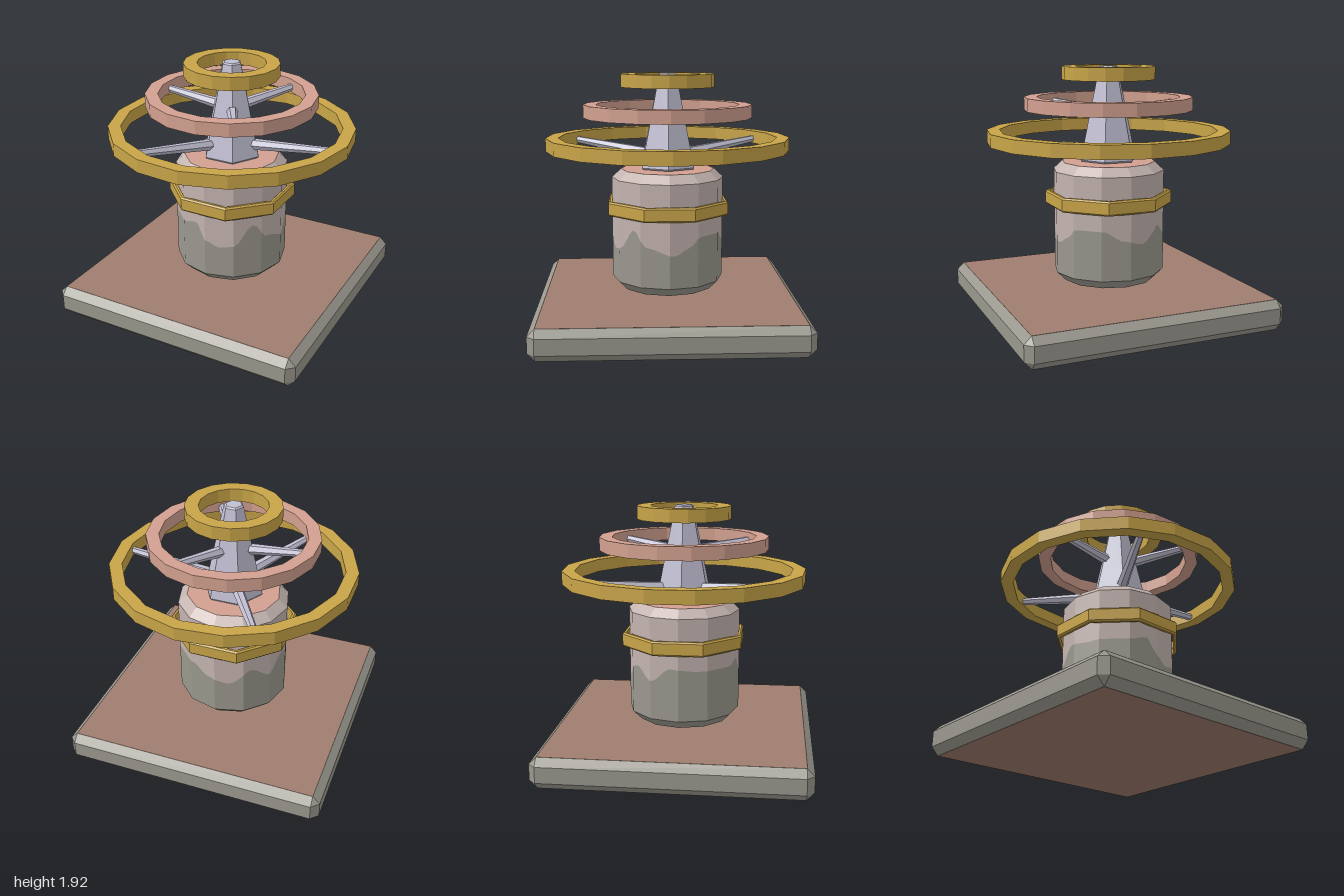
import * as THREE from 'three';
import { ConvexGeometry } from 'three/addons/geometries/ConvexGeometry.js';

const mat = (name, color) => {
  const m = new THREE.MeshStandardMaterial({ color });
  m.name = name;
  return m;
};

// Gives every face its own normal for hard low-poly edges
const flat = (g) => {
  const f = g.index ? g.toNonIndexed() : g;
  f.computeVertexNormals();
  return f;
};

// Faceted turned part from a profile of [radius, height] pairs
const turned = (profile, sides, turn = 0) =>
  flat(new THREE.LatheGeometry(profile.map(([r, y]) => new THREE.Vector2(r, y)), sides).rotateY(turn));

const ringProfile = (inner, outer, y0, y1, c = 0) => c
  ? [[inner, y0], [outer - c, y0], [outer, y0 + c], [outer, y1 - c], [outer - c, y1], [inner, y1], [inner, y0]]
  : [[inner, y0], [outer, y0], [outer, y1], [inner, y1], [inner, y0]];

// Height of the wavy paint line: [degrees from the front towards +x, y]
const WAVE = [[0, 0.64], [15, 0.59], [30, 0.61], [51, 0.775], [67, 0.65], [95, 0.595], [111, 0.65],
  [122, 0.725], [152, 0.725], [172, 0.65], [195, 0.61], [218, 0.73], [240, 0.64], [262, 0.75],
  [290, 0.73], [330, 0.73], [349, 0.765], [360, 0.64]];
function paintLine(deg) {
  const d = ((deg % 360) + 360) % 360;
  const i = WAVE.findIndex((p) => p[0] > d);
  const [a, ya] = WAVE[i - 1], [b, yb] = WAVE[i];
  return THREE.MathUtils.lerp(ya, yb, THREE.MathUtils.smoothstep(d, a, b));
}

// Twelve-sided wall between two height rules
function wall(radius, low, high) {
  const pos = [];
  const at = (deg, rule) => {
    const off = THREE.MathUtils.degToRad((deg % 30) - 15);
    const r = radius * Math.cos(Math.PI / 12) / Math.cos(off);
    const t = THREE.MathUtils.degToRad(deg);
    return [r * Math.sin(t), rule(deg), r * Math.cos(t)];
  };
  for (let d = 0; d < 360; d += 5) {
    const a = at(d, low), b = at(d + 5, low), c = at(d + 5, high), e = at(d, high);
    pos.push(...a, ...b, ...c, ...a, ...c, ...e);
  }
  const g = new THREE.BufferGeometry();
  g.setAttribute('position', new THREE.Float32BufferAttribute(pos, 3));
  return flat(g);
}

export function createModel() {
  const stone = mat('stone grey', 0x9a988e);
  const brown = mat('clay brown', 0x9e7d6e);
  const mauve = mat('pale mauve', 0xc4b4b0);
  const gold = mat('gold', 0xc9a549);
  const salmon = mat('salmon', 0xd3a190);
  const lilac = mat('lilac grey', 0xc2c0d3);

  const group = new THREE.Group();
  const add = (name, geometry, material) => {
    const m = new THREE.Mesh(geometry, material);
    m.name = name;
    group.add(m);
    return m;
  };

  // Chamfered square base with brown top and underside
  const corners = [];
  for (const sx of [-1, 1]) for (const sz of [-1, 1]) {
    for (const y of [0.06, 0.18]) {
      corners.push(new THREE.Vector3(sx, y, sz * 0.945), new THREE.Vector3(sx * 0.945, y, sz));
    }
    for (const y of [0.001, 0.234]) corners.push(new THREE.Vector3(sx * 0.945, y, sz * 0.945));
  }
  add('base', flat(new ConvexGeometry(corners)), stone);
  for (const [name, y] of [['baseTop', 0.234], ['baseUnderside', 0.001]]) {
    add(name, new THREE.BoxGeometry(1.89, 0.002, 1.89), brown).position.y = y;
  }

  // Drum floating above the base, painted in two tones
  add('drumBottom', turned([[0, 0.275], [0.36, 0.275], [0.43, 0.345]], 12), stone);
  add('drumLowerWall', wall(0.43, () => 0.345, paintLine), stone);
  add('drumUpperWall', wall(0.43, paintLine, () => 1.13), mauve);
  add('drumShoulder', turned([[0.43, 1.13], [0.36, 1.195]], 12), mauve);
  add('drumTop', turned([[0.36, 1.195], [0, 1.195]], 12), salmon);

  // Octagonal band with its flats to the front and sides
  const k = 1 / Math.cos(Math.PI / 8);
  add('band', turned(ringProfile(0.425 * k, 0.453 * k, 0.855, 0.965, 0.012), 8, Math.PI / 8), gold);

  // Six-sided tapering spindle
  add('spindle', turned([[0, 1.2], [0.222, 1.2], [0.23, 1.212], [0.076, 1.915], [0.062, 1.925], [0, 1.925]],
    6, Math.PI / 2), lilac);

  // Three stacked rings
  for (const [name, inner, outer, y0, y1, material] of [
    ['lowerRing', 0.835, 0.932, 1.34, 1.44, gold],
    ['middleRing', 0.548, 0.645, 1.59, 1.69, salmon],
    ['upperRing', 0.255, 0.357, 1.82, 1.92, gold],
  ]) add(name, turned(ringProfile(inner, outer, y0, y1), 17, Math.PI / 2), material);

  // Tapered spokes rising from the spindle to the rings
  const spoke = (name, deg, from, to, r0, r1) => {
    const [a, b] = [from, to].map(([x, y]) => new THREE.Vector3(x, y, 0));
    const g = flat(new THREE.CylinderGeometry(r1, r0, a.distanceTo(b), 6));
    g.rotateZ(Math.atan2(b.y - a.y, b.x - a.x) - Math.PI / 2);
    g.translate((a.x + b.x) / 2, (a.y + b.y) / 2, 0);
    add(name, g, lilac).rotation.y = THREE.MathUtils.degToRad(deg);
  };
  for (let i = 0; i < 3; i++) {
    spoke('lowerSpoke', i * 120, [0.17, 1.305], [0.855, 1.38], 0.044, 0.027);
    spoke('middleSpoke', i * 120 + 60, [0.12, 1.58], [0.565, 1.63], 0.042, 0.027);
  }
  return group;
}
